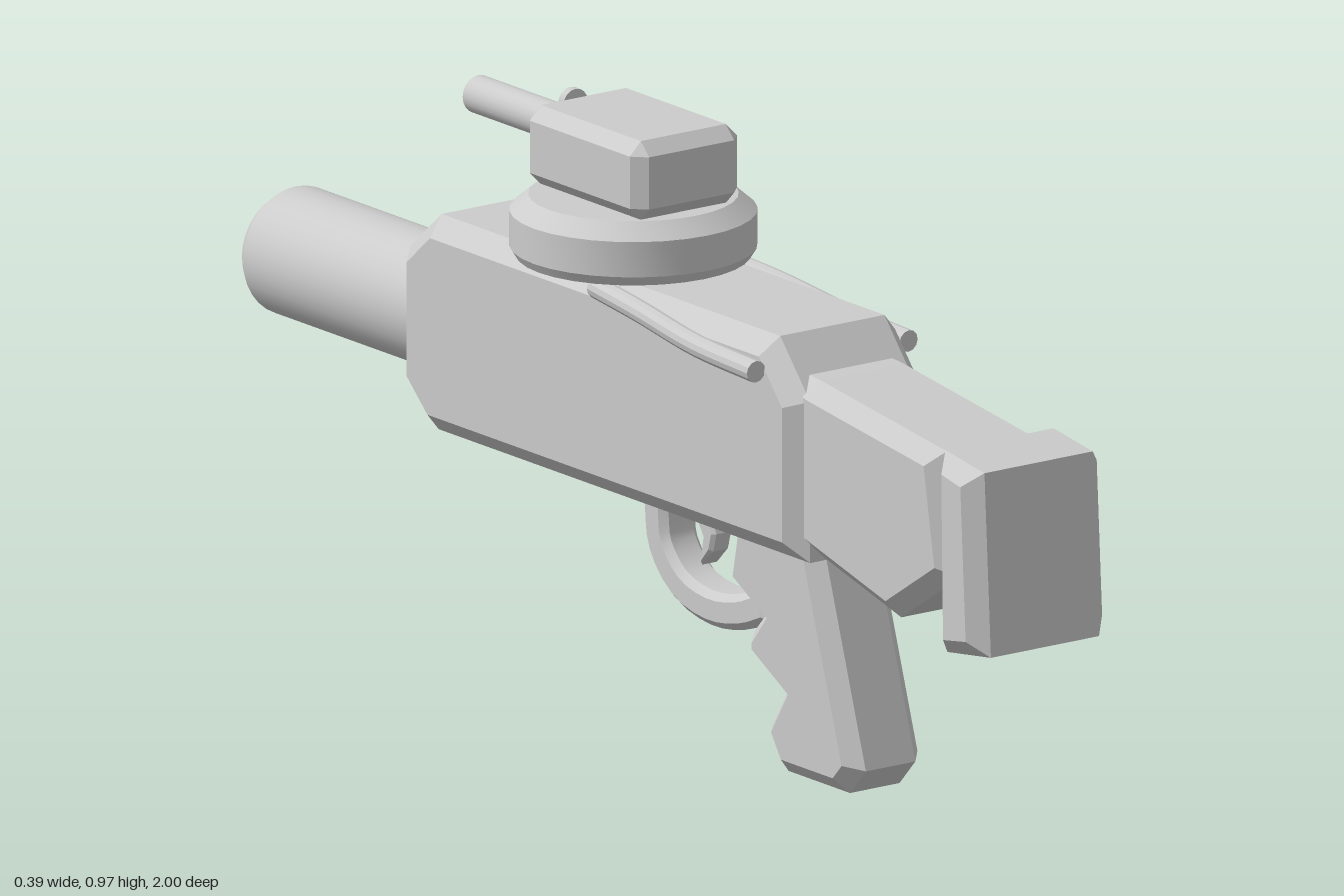
import * as THREE from 'three';
import { toCreasedNormals } from 'three/addons/utils/BufferGeometryUtils.js';
import { ConvexGeometry } from 'three/addons/geometries/ConvexGeometry.js';

const grey = new THREE.MeshStandardMaterial({ color: 0xcccccc });
grey.name = 'grey';

function add(group, name, geometry) {
  const mesh = new THREE.Mesh(geometry, grey);
  mesh.name = name;
  group.add(mesh);
  return mesh;
}

// Side outline in [z, y], extruded across x with chamfered edges
function slab(shape, halfWidth, bevel) {
  const depth = 2 * (halfWidth - bevel);
  const g = new THREE.ExtrudeGeometry(shape, {
    depth, bevelEnabled: true, bevelThickness: bevel, bevelSize: bevel,
    bevelOffset: -bevel, bevelSegments: 1, curveSegments: 8,
  });
  return g.translate(0, 0, -depth / 2).rotateY(Math.PI / 2);
}
const outline = (pts) => new THREE.Shape(pts.map(([z, y]) => new THREE.Vector2(-z, y)));

// Turned part with crisp rims and smooth sides
function turned(pts, segments = 32) {
  const g = new THREE.LatheGeometry(pts.map(([r, y]) => new THREE.Vector2(r, y)), segments);
  return toCreasedNormals(g, 0.5);
}

// Box with every edge cut
function chamferBox(w, h, d, c) {
  const pts = [];
  for (const x of [-1, 1]) for (const y of [-1, 1]) for (const z of [-1, 1]) {
    for (let axis = 0; axis < 3; axis++) {
      const inset = [c, c, c];
      inset[axis] = 0;
      pts.push(new THREE.Vector3(x * (w / 2 - inset[0]), y * (h / 2 - inset[1]), z * (d / 2 - inset[2])));
    }
  }
  return new ConvexGeometry(pts);
}

export function createModel() {
  const model = new THREE.Group();
  model.name = 'blaster';

  // Main body, stock and butt plate
  add(model, 'body', slab(outline([
    [0.517, 0.38], [-0.465, 0.38], [-0.54, 0.45], [-0.54, 0.665],
    [-0.457, 0.736], [0.438, 0.736], [0.517, 0.645],
  ]), 0.135, 0.032));
  add(model, 'stock', slab(outline([
    [0.48, 0.4], [0.517, 0.39], [0.73, 0.335], [0.885, 0.435],
    [0.85, 0.635], [0.517, 0.677], [0.48, 0.68],
  ]), 0.11, 0.028));
  add(model, 'buttPlate', slab(outline([
    [1.0, 0.333], [0.885, 0.317], [0.88, 0.648], [0.983, 0.633],
  ]), 0.135, 0.028));

  // Grip with finger grooves
  add(model, 'grip', slab(outline([
    [0.475, 0.41], [0.27, 0.41], [0.245, 0.285], [0.328, 0.243], [0.298, 0.21],
    [0.298, 0.175], [0.385, 0.128], [0.345, 0.065], [0.388, 0], [0.55, 0], [0.592, 0.045],
  ]), 0.075, 0.026));

  // Trigger guard: a band around a smooth centre line
  const guardLine = new THREE.CatmullRomCurve3([
    [0.3, 0.25], [0.23, 0.222], [0.15, 0.212], [0.07, 0.232], [0.018, 0.285], [0.008, 0.34], [0.008, 0.4],
  ].map(([z, y]) => new THREE.Vector3(-z, y, 0)));
  const inner = [], outer = [];
  for (let i = 0; i <= 18; i++) {
    const p = guardLine.getPoint(i / 18), t = guardLine.getTangent(i / 18);
    outer.push(new THREE.Vector2(p.x + t.y * 0.029, p.y - t.x * 0.029));
    inner.unshift(new THREE.Vector2(p.x - t.y * 0.029, p.y + t.x * 0.029));
  }
  add(model, 'triggerGuard', toCreasedNormals(slab(new THREE.Shape([...outer, ...inner]), 0.036, 0.012), 0.5));

  add(model, 'trigger', slab(outline([
    [0.155, 0.4], [0.09, 0.4], [0.095, 0.355], [0.118, 0.32], [0.113, 0.272],
    [0.142, 0.3], [0.15, 0.33], [0.137, 0.36],
  ]), 0.02, 0.006));

  // Barrel with a shallow bore
  const barrel = turned([
    [0.105, 0], [0.105, 0.46], [0.092, 0.48], [0.072, 0.48], [0.064, 0.42], [0, 0.42],
  ]);
  add(model, 'barrel', barrel.rotateX(-Math.PI / 2)).position.set(0, 0.542, -0.52);

  // Turret: round base, box, thin rod and sight tab
  const turret = new THREE.Group();
  turret.name = 'turret';
  turret.position.set(0, 0, -0.088);
  model.add(turret);
  add(turret, 'turretBase', turned([
    [0, 0.736], [0.187, 0.736], [0.197, 0.752], [0.197, 0.81], [0.167, 0.836], [0, 0.836],
  ]));
  add(turret, 'turretBox', chamferBox(0.212, 0.13, 0.308, 0.022)).position.y = 0.9;
  const rod = new THREE.CylinderGeometry(0.031, 0.031, 0.29, 20).rotateX(Math.PI / 2);
  add(turret, 'turretRod', rod).position.set(0, 0.907, -0.265);
  const tab = new THREE.CylinderGeometry(0.024, 0.024, 0.014, 16).rotateX(Math.PI / 2);
  add(turret, 'sightTab', tab).position.set(0, 0.949, -0.16);

  // Curved rails along the upper flanks
  const section = new THREE.Shape();
  section.absarc(0, 0, 0.018, 0, Math.PI * 2);
  for (const side of [1, -1]) {
    const path = new THREE.CatmullRomCurve3([
      [0.13, 0.72, -0.012], [0.14, 0.71, 0.12], [0.149, 0.692, 0.28], [0.151, 0.685, 0.438],
    ].map(([x, y, z]) => new THREE.Vector3(x * side, y, z)));
    const rail = new THREE.ExtrudeGeometry(section, {
      steps: 12, curveSegments: 6, bevelEnabled: false, extrudePath: path,
    });
    add(model, side > 0 ? 'leftRail' : 'rightRail', rail);
  }

  return model;
}
